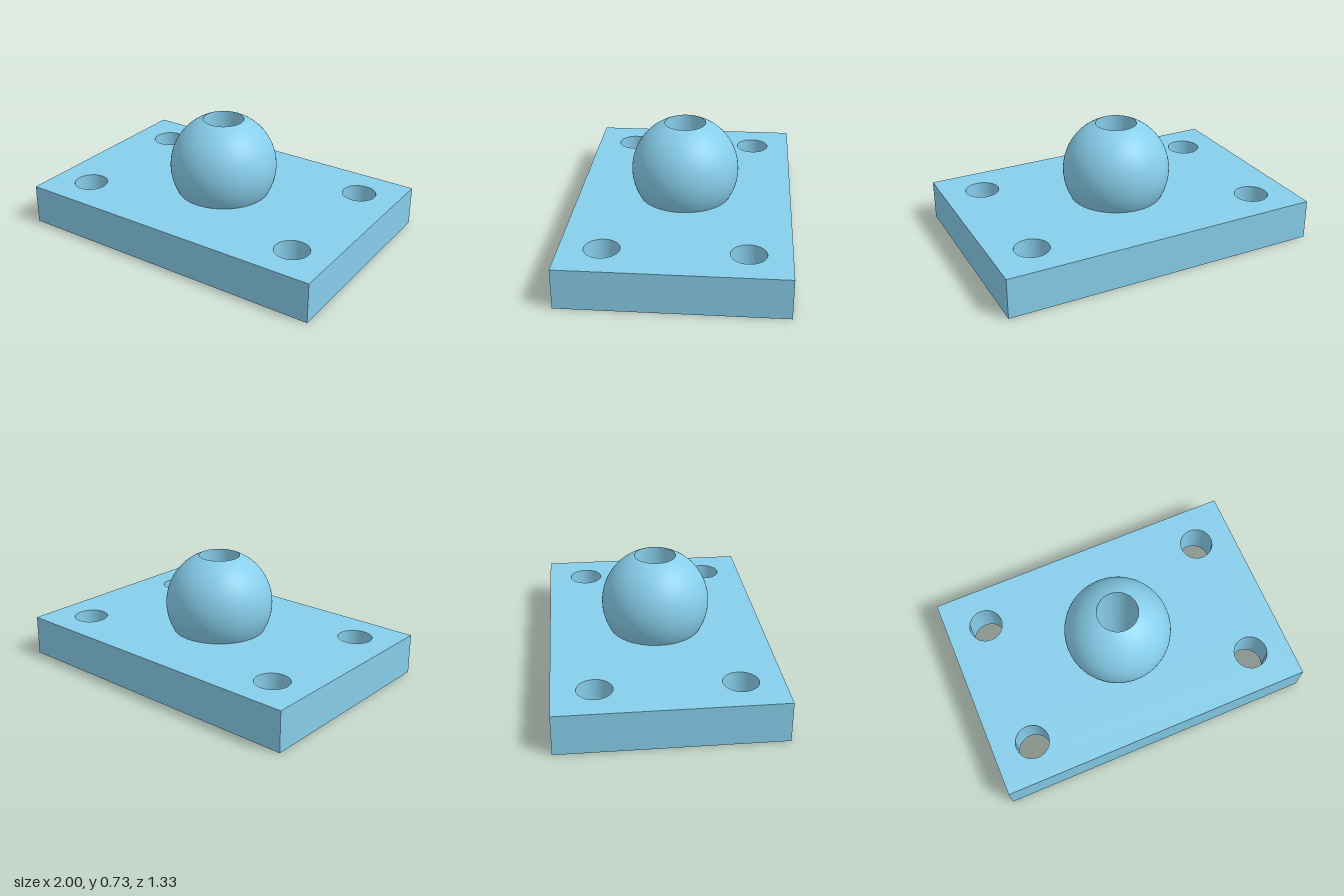
import * as THREE from 'three';
import { toCreasedNormals } from 'three/addons/utils/BufferGeometryUtils.js';

const WIDTH = 2, DEPTH = 4 / 3, THICKNESS = 0.25;
const BALL_RADIUS = 1 / 3, BALL_Y = 0.417, BORE_RADIUS = 0.126;
const BOLT_RADIUS = 0.105, BOLT_X = 0.75, BOLT_Z = 0.417;
const CREASE = Math.PI / 6;

function circleHole(x, y, radius) {
  const hole = new THREE.Path();
  hole.absarc(x, y, radius, 0, Math.PI * 2, true);
  return hole;
}

// Rectangular plate with four bolt holes and the central bore
function createPlateGeometry() {
  const x = WIDTH / 2, z = DEPTH / 2;
  const outline = new THREE.Shape([
    new THREE.Vector2(-x, -z), new THREE.Vector2(x, -z),
    new THREE.Vector2(x, z), new THREE.Vector2(-x, z),
  ]);
  outline.holes.push(circleHole(0, 0, BORE_RADIUS));
  for (const sx of [-1, 1]) {
    for (const sz of [-1, 1]) {
      outline.holes.push(circleHole(sx * BOLT_X, sz * BOLT_Z, BOLT_RADIUS));
    }
  }
  const geometry = new THREE.ExtrudeGeometry(outline, {
    depth: THICKNESS, bevelEnabled: false, curveSegments: 48,
  });
  geometry.rotateX(-Math.PI / 2);
  return toCreasedNormals(geometry, CREASE);
}

// Ball rising from the plate, with the bore running down its axis
function createBallGeometry() {
  const start = Math.asin((THICKNESS - BALL_Y) / BALL_RADIUS);
  const end = Math.acos(BORE_RADIUS / BALL_RADIUS);
  const profile = [];
  const steps = 40;
  for (let i = 0; i <= steps; i++) {
    const a = start + (end - start) * i / steps;
    profile.push(new THREE.Vector2(
      BALL_RADIUS * Math.cos(a), BALL_Y + BALL_RADIUS * Math.sin(a)));
  }
  profile.push(new THREE.Vector2(BORE_RADIUS, THICKNESS));
  return toCreasedNormals(new THREE.LatheGeometry(profile, 96), CREASE);
}

export function createModel() {
  const material = new THREE.MeshStandardMaterial({ color: 0x87ceeb });
  const model = new THREE.Group();
  model.name = 'ballMount';

  const plate = new THREE.Mesh(createPlateGeometry(), material);
  plate.name = 'basePlate';
  const ball = new THREE.Mesh(createBallGeometry(), material);
  ball.name = 'boredBall';

  model.add(plate, ball);
  return model;
}
